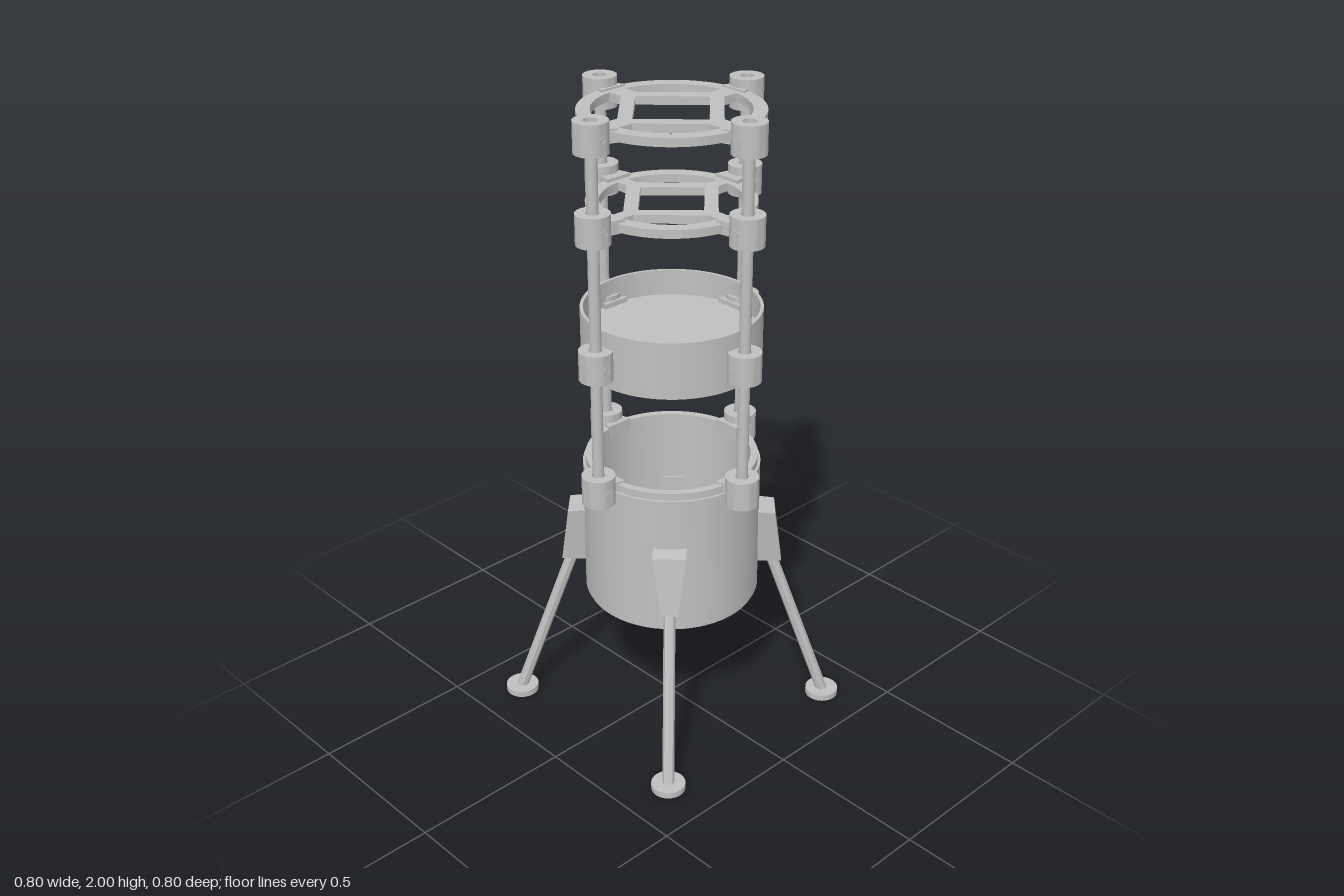
import * as THREE from 'three';
import { toCreasedNormals } from 'three/addons/utils/BufferGeometryUtils.js';

const metal = new THREE.MeshStandardMaterial({ color: 0xc0c0c0 });
metal.name = 'brushed grey';

function part(name, geometry, parent, y = 0, z = 0) {
  const mesh = new THREE.Mesh(geometry, metal);
  mesh.name = name;
  mesh.position.set(0, y, z);
  parent.add(mesh);
  return mesh;
}

// Turned part from [radius, height] points, listed up the outside and down the inside
function turned(points, segments = 72) {
  const profile = points.map(([r, y]) => new THREE.Vector2(r, y));
  return toCreasedNormals(new THREE.LatheGeometry(profile, segments), 0.5);
}

// Flat shape extruded upwards, centred on y = 0
function slab(shape, height, curveSegments = 16) {
  const g = new THREE.ExtrudeGeometry(shape, { depth: height, bevelEnabled: false, curveSegments });
  g.translate(0, 0, -height / 2);
  g.rotateX(-Math.PI / 2);
  return toCreasedNormals(g, 0.5);
}

// Round hoop braced by a diamond and four short spokes
function braceFrame(outer, ring, diamondIn, diamondOut, spoke) {
  const shape = new THREE.Shape().absarc(0, 0, outer, 0, Math.PI * 2, false);
  const d = diamondIn;
  shape.holes.push(new THREE.Path([[d, 0], [0, d], [-d, 0], [0, -d]].map(p => new THREE.Vector2(...p))));
  const a0 = Math.asin(spoke / ring);
  for (let q = 0; q < 4; q++) {
    const turn = q * Math.PI / 2;
    const pts = [];
    for (let i = 0; i <= 16; i++) {
      const a = a0 + (Math.PI / 2 - 2 * a0) * i / 16;
      pts.push(new THREE.Vector2(Math.cos(a), Math.sin(a)).multiplyScalar(ring));
    }
    pts.push(new THREE.Vector2(spoke, diamondOut - spoke), new THREE.Vector2(diamondOut - spoke, spoke));
    pts.forEach(p => p.rotateAround(new THREE.Vector2(), turn));
    shape.holes.push(new THREE.Path(pts));
  }
  return slab(shape, 0.025, 72);
}

// Wedge bracket: wide and shallow at the top, narrow and deep at the bottom
function bracketGeometry() {
  const g = new THREE.BoxGeometry(1, 1, 1).toNonIndexed();
  const p = g.attributes.position;
  for (let i = 0; i < p.count; i++) {
    const top = p.getY(i) > 0, out = p.getZ(i) > 0;
    p.setXYZ(i, Math.sign(p.getX(i)) * (top ? 0.05 : 0.025),
      top ? (out ? 0.705 : 0.712) : 0.52,
      out ? (top ? 0.318 : 0.343) : 0.25);
  }
  g.computeVertexNormals();
  return g;
}

export function createModel() {
  const model = new THREE.Group();
  model.name = 'open frame tower';

  // Hollow lower tube with stepped lips
  part('baseTube', turned([
    [0.222, 0.42], [0.262, 0.42], [0.262, 0.435], [0.27, 0.435], [0.27, 0.872], [0.262, 0.872],
    [0.262, 0.895], [0.24, 0.895], [0.24, 0.45], [0.222, 0.45], [0.222, 0.42]]), model);

  // Tray with a floor and a cone under it
  part('tray', turned([
    [0, 1.29], [0.25, 1.29], [0.25, 1.205], [0.268, 1.205], [0.268, 1.38],
    [0.258, 1.38], [0.258, 1.3], [0, 1.3]]), model);
  part('trayCone', turned([[0, 1.1], [0.225, 1.292]]), model);

  // Two braced hoops
  part('upperFrame', braceFrame(0.265, 0.225, 0.148, 0.205, 0.03), model, 1.957);
  part('middleFrame', braceFrame(0.245, 0.205, 0.13, 0.187, 0.02), model, 1.693);

  // Four rods with clamps at each level
  const rod = new THREE.CylinderGeometry(0.017, 0.017, 1.135, 24);
  const ringShape = new THREE.Shape().absarc(0, 0, 0.05, 0, Math.PI * 2, false);
  ringShape.holes.push(new THREE.Path().absarc(0, 0, 0.02, 0, Math.PI * 2, true));
  const clamp = slab(ringShape, 0.09);
  const screw = turned([
    [0.007, -0.051], [0.012, -0.051], [0.012, -0.04], [0.012, 0.04],
    [0.012, 0.051], [0.007, 0.051], [0.007, 0.042], [0, 0.042]], 16);
  screw.rotateZ(-Math.PI / 2);
  const levels = [
    { y: 1.955, inner: 0.24, height: 0.04 },
    { y: 1.695, inner: 0.22, height: 0.04 },
    { y: 1.285, inner: 0.24, height: 0.06 },
    { y: 0.882, inner: 0.235, height: 0.04 }];
  for (let i = 0; i < 4; i++) {
    const post = new THREE.Group();
    post.name = 'post';
    post.rotation.y = i * Math.PI / 2;
    model.add(post);
    part('rod', rod, post, 1.4175, 0.297);
    for (const { y, inner, height } of levels) {
      part('clamp', clamp, post, y, 0.297);
      const screwMesh = part('clampScrew', screw, post, y, 0.297);
      screwMesh.scale.set(1, 1, 1);
      // Dovetail joining the clamp to the ring it holds
      const tail = new THREE.Shape([[-0.045, -inner], [-0.036, -0.265], [0.036, -0.265], [0.045, -inner]]
        .map(p => new THREE.Vector2(...p)));
      part('clampDovetail', slab(tail, height), post, y);
    }
  }

  // Four splayed legs
  const bracket = bracketGeometry();
  const knee = new THREE.Vector3(0, 0.55, 0.303), ankle = new THREE.Vector3(0, 0.015, 0.49);
  const shaft = toCreasedNormals(
    new THREE.CylinderGeometry(0.018, 0.018, knee.distanceTo(ankle), 8), 0.3);
  const foot = new THREE.CylinderGeometry(0.052, 0.052, 0.02, 32);
  const pad = new THREE.BoxGeometry(0.08, 0.1, 0.02);
  for (let i = 0; i < 4; i++) {
    const leg = new THREE.Group();
    leg.name = 'leg';
    leg.rotation.y = Math.PI / 4 + i * Math.PI / 2;
    model.add(leg);
    part('legBracket', bracket, leg);
    part('legInnerPad', pad, leg, 0.62, 0.244);
    const strut = part('legStrut', shaft, leg);
    strut.position.copy(knee).lerp(ankle, 0.5);
    strut.quaternion.setFromUnitVectors(new THREE.Vector3(0, 1, 0), knee.clone().sub(ankle).normalize());
    part('foot', foot, leg, 0.01, 0.49);
  }
  return model;
}
